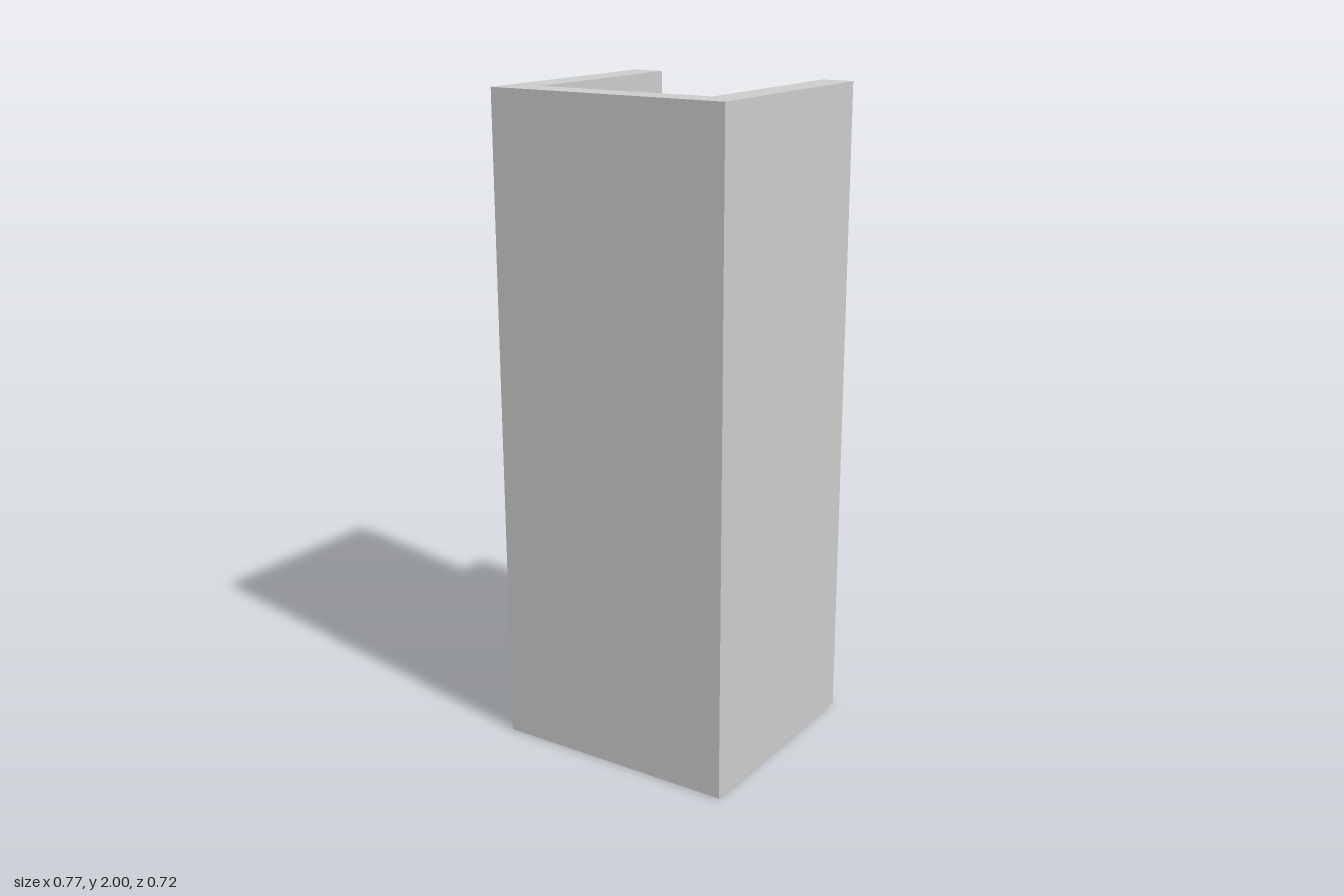
import * as THREE from 'three';

const HEIGHT = 2;
const HALF_W = 0.383; // half of the outer width (x)
const HALF_D = 0.358; // half of the outer depth (z)
const WALL = 0.1;

export function createModel() {
  const group = new THREE.Group();
  group.name = 'uChannel';

  // U-shaped cross-section; shape y becomes -z, so the web is at the front
  const inner = HALF_W - WALL;
  const web = -HALF_D + WALL;
  const profile = new THREE.Shape([
    [-HALF_W, -HALF_D], [HALF_W, -HALF_D], [HALF_W, HALF_D], [inner, HALF_D],
    [inner, web], [-inner, web], [-inner, HALF_D], [-HALF_W, HALF_D],
  ].map(([x, y]) => new THREE.Vector2(x, y)));

  // Extrude the section and stand it upright
  const geometry = new THREE.ExtrudeGeometry(profile, { depth: HEIGHT, bevelEnabled: false });
  geometry.rotateX(-Math.PI / 2);

  const channel = new THREE.Mesh(
    geometry,
    new THREE.MeshStandardMaterial({ color: 0xcccccc, flatShading: true }),
  );
  channel.name = 'channelWalls';
  group.add(channel);
  return group;
}
